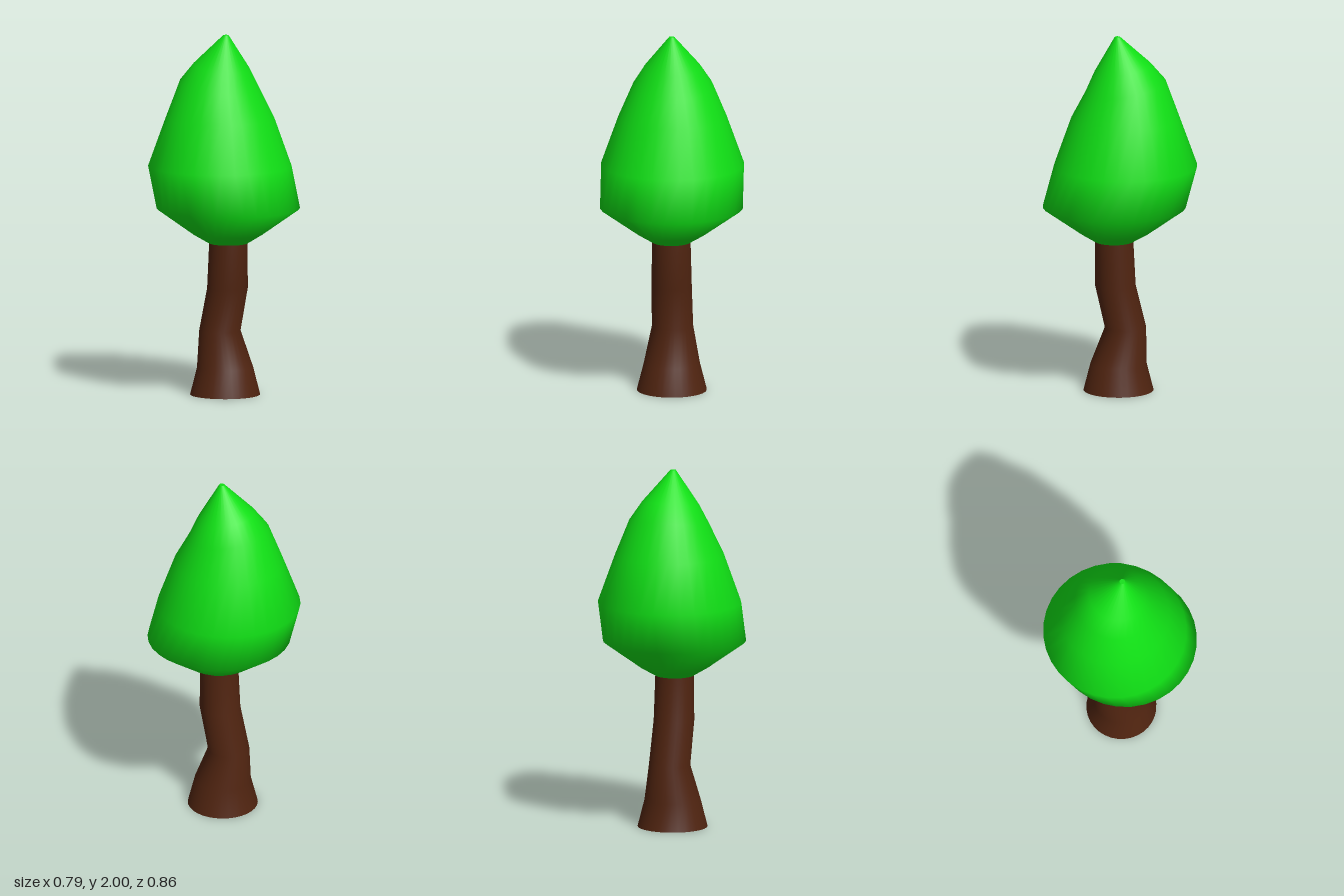
import * as THREE from 'three';

const SIDES = 32;

// Skins a stack of round rings [y, radius, centre z, tilt] and closes both ends.
// Tilt is the rise of the ring's back edge above its centre.
function loft(rings) {
  const pos = [], index = [];
  const addRing = ([y, r, cz, tilt = 0]) => {
    const start = pos.length / 3;
    for (let i = 0; i < SIDES; i++) {
      const a = (i / SIDES) * Math.PI * 2;
      pos.push(Math.sin(a) * r, y - Math.cos(a) * tilt, cz + Math.cos(a) * r);
    }
    return start;
  };
  const starts = rings.map(addRing);
  for (let k = 0; k < starts.length - 1; k++) {
    for (let i = 0; i < SIDES; i++) {
      const j = (i + 1) % SIDES;
      const a = starts[k] + i, b = starts[k] + j;
      const c = starts[k + 1] + i, d = starts[k + 1] + j;
      index.push(a, b, d, a, d, c);
    }
  }
  // end caps with their own vertices, so the rims stay sharp
  const addCap = (ring, up) => {
    const s = addRing(ring), centre = pos.length / 3;
    pos.push(0, ring[0], ring[2]);
    for (let i = 0; i < SIDES; i++) {
      const a = s + i, b = s + (i + 1) % SIDES;
      if (up) index.push(centre, a, b);
      else index.push(centre, b, a);
    }
  };
  addCap(rings[0], false);
  addCap(rings[rings.length - 1], true);

  const geo = new THREE.BufferGeometry();
  geo.setAttribute('position', new THREE.Float32BufferAttribute(pos, 3));
  geo.setIndex(index);
  geo.computeVertexNormals();
  return geo;
}

function part(name, rings, color) {
  const mesh = new THREE.Mesh(loft(rings), new THREE.MeshStandardMaterial({ color }));
  mesh.name = name;
  return mesh;
}

export function createModel() {
  const tree = new THREE.Group();
  tree.name = 'tree';

  // crooked trunk with a flared foot
  tree.add(part('trunk', [
    [0, 0.193, 0.01],
    [0.15, 0.155, 0.01],
    [0.352, 0.114, -0.03],
    [0.595, 0.112, 0.028],
    [0.846, 0.106, 0.035],
  ], 0x502410));

  // leaning, pointed crown
  tree.add(part('crown', [
    [0.845, 0.108, 0.035],
    [0.895, 0.192, 0.032],
    [1.04, 0.395, 0.034],
    [1.27, 0.395, -0.031],
    [1.535, 0.3, -0.03],
    [1.715, 0.222, -0.03, 0.035],
    [1.822, 0.156, -0.015, 0.022],
    [2, 0.015, 0.016],
  ], 0x10e015));

  return tree;
}
